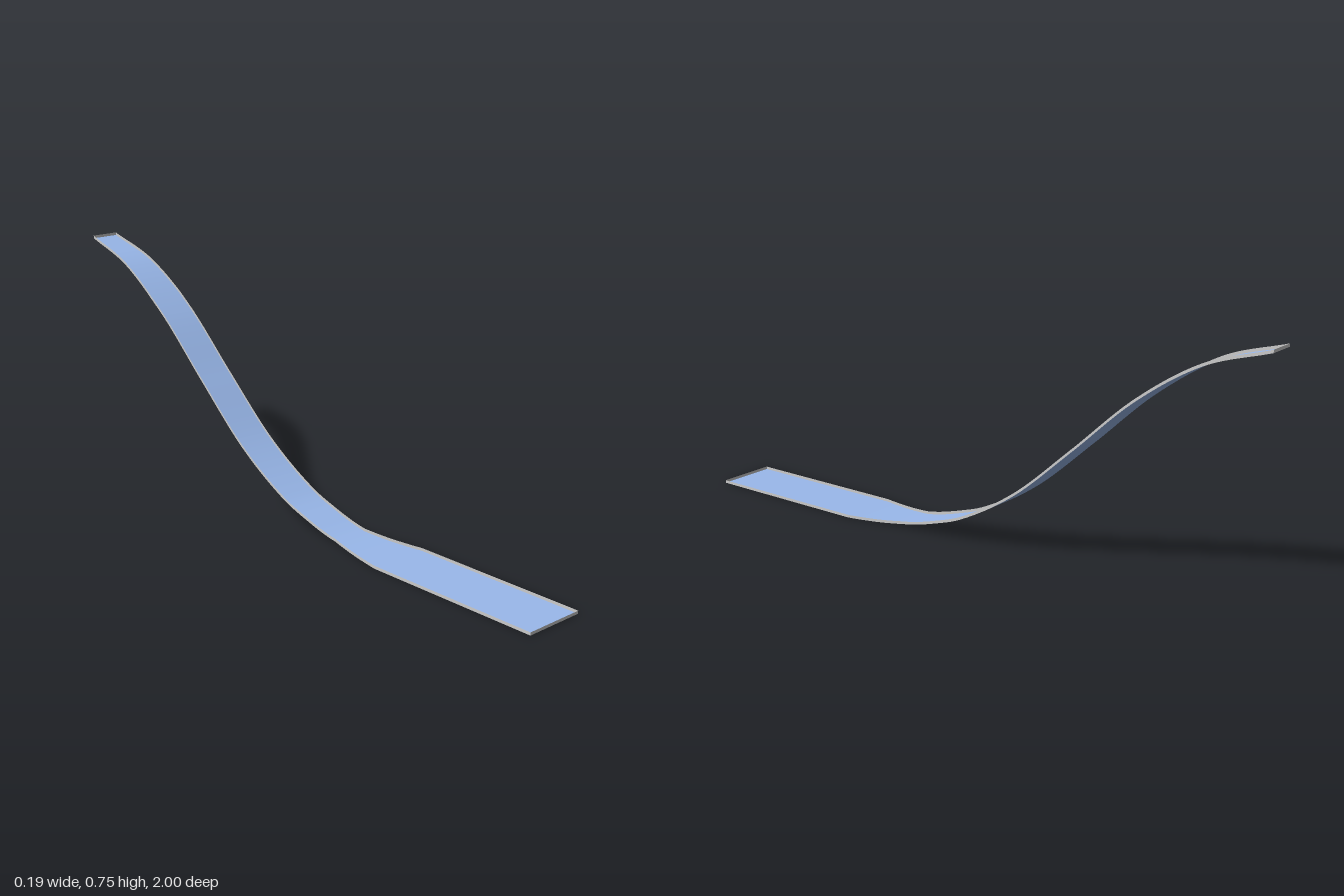
import * as THREE from 'three';

const RIM = 0.009; // height of the raised edge
const STEPS = 200;

// Height of the strip along its run, s = -z
const runAt = [-1, -0.6, -0.4, -0.3, -0.2, -0.1, 0, 0.2, 0.4, 0.6, 0.8, 1];
const rise = [0, 0, 0, 0.004, 0.016, 0.042, 0.077, 0.195, 0.367, 0.546, 0.676, 0.741];
const profile = new THREE.CubicInterpolant(runAt, rise, 1);
const height = (s) => Math.max(0, profile.evaluate(s)[0]);

// Side outlines: [s, right edge x, left edge x]
const outline = [
  [-1, -0.098, 0.097], [-0.43, -0.098, 0.097], [-0.23, -0.063, 0.058],
  [0.66, -0.061, 0.056], [1, -0.048, 0.043],
];
function edgeX(s, side) {
  let i = 0;
  while (i < outline.length - 2 && s > outline[i + 1][0]) i++;
  const [a, b] = [outline[i], outline[i + 1]];
  return THREE.MathUtils.mapLinear(s, a[0], b[0], a[side], b[side]);
}

// Ribbon joining two rows of points
function ribbon(rowA, rowB) {
  const position = [], index = [];
  rowA.forEach((a, i) => {
    position.push(...a, ...rowB[i]);
    const k = 2 * i;
    if (i) index.push(k - 2, k - 1, k, k - 1, k + 1, k);
  });
  const g = new THREE.BufferGeometry();
  g.setAttribute('position', new THREE.Float32BufferAttribute(position, 3));
  g.setIndex(index);
  g.computeVertexNormals();
  return g;
}

export function createModel() {
  const group = new THREE.Group();
  const blue = new THREE.MeshStandardMaterial({ color: 0x9ab9ec, side: THREE.DoubleSide });
  const grey = new THREE.MeshStandardMaterial({ color: 0xcccccc, side: THREE.DoubleSide });
  const add = (name, a, b, material) => {
    const mesh = new THREE.Mesh(ribbon(a, b), material);
    mesh.name = name;
    group.add(mesh);
  };
  const lift = (row) => row.map(([x, y, z]) => [x, y + RIM, z]);

  const right = [], left = [];
  for (let i = 0; i <= STEPS; i++) {
    const s = -1 + (2 * i) / STEPS;
    right.push([edgeX(s, 1), height(s), -s]);
    left.push([edgeX(s, 2), height(s), -s]);
  }

  // Curved bed of the slide
  add('bed', right, left, blue);

  // Thin upright rim all the way round
  add('rightRim', lift(right), right, grey);
  add('leftRim', left, lift(left), grey);
  const front = [right[0], left[0]];
  const back = [left[STEPS], right[STEPS]];
  add('frontRim', lift(front), front, grey);
  add('backRim', lift(back), back, grey);
  return group;
}
